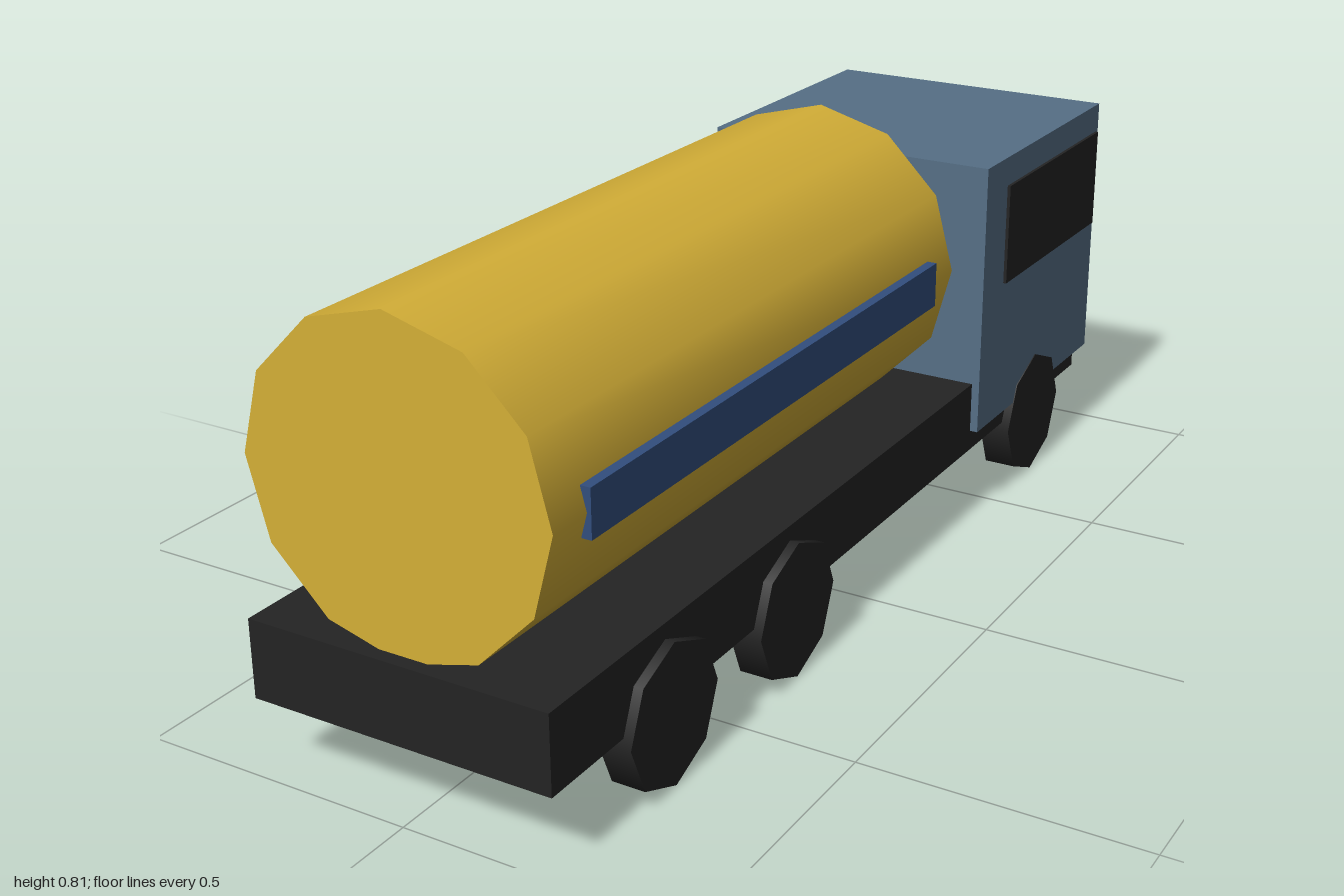
import * as THREE from 'three';

const material = (name, color) => {
  const m = new THREE.MeshStandardMaterial({ color });
  m.name = name;
  return m;
};

export function createModel() {
  const black = material('black', 0x242424);
  const blue = material('slate blue', 0x566f86);
  const gold = material('gold', 0xd4af37);
  const navy = material('navy', 0x324e7e);
  const cream = material('cream', 0xe8d5a8);

  const truck = new THREE.Group();
  truck.name = 'tankTruck';

  const add = (name, geometry, mat, x = 0, y = 0, z = 0) => {
    const mesh = new THREE.Mesh(geometry, mat);
    mesh.name = name;
    mesh.position.set(x, y, z);
    truck.add(mesh);
  };
  // Box given by its extents along each axis
  const addBox = (name, mat, [x0, x1], [y0, y1], [z0, z1]) =>
    add(name, new THREE.BoxGeometry(x1 - x0, y1 - y0, z1 - z0), mat,
      (x0 + x1) / 2, (y0 + y1) / 2, (z0 + z1) / 2);

  // Chassis and cab (the cab sits at the -z end)
  addBox('chassis', black, [-0.275, 0.275], [0.14, 0.277], [-0.93, 1]);
  addBox('cab', blue, [-0.29, 0.29], [0.18, 0.706], [-0.96, -0.408]);

  // Twelve-sided tank lying along z
  add('tank', new THREE.CylinderGeometry(0.275, 0.275, 1.27, 12).rotateX(Math.PI / 2),
    gold, 0, 0.54, 0.34);

  // Parts repeated on both sides
  const wheel = new THREE.CylinderGeometry(0.125, 0.125, 0.06, 8).rotateZ(Math.PI / 2);
  const lamp = new THREE.SphereGeometry(0.035, 8, 6);
  for (const [side, s] of [['left', 1], ['right', -1]]) {
    const span = (a, b) => (s > 0 ? [a, b] : [-b, -a]);
    addBox(side + 'Window', black, span(0.288, 0.296), [0.456, 0.65], [-0.947, -0.502]);
    addBox(side + 'Stripe', navy, span(0.255, 0.282), [0.499, 0.58], [-0.212, 0.893]);
    add(side + 'Headlight', lamp, cream, s * 0.165, 0.222, -0.965);
    [-0.682, 0.31, 0.697].forEach((z, i) =>
      add(side + 'Wheel' + (i + 1), wheel, black, s * 0.262, 0.125, z));
  }
  return truck;
}
